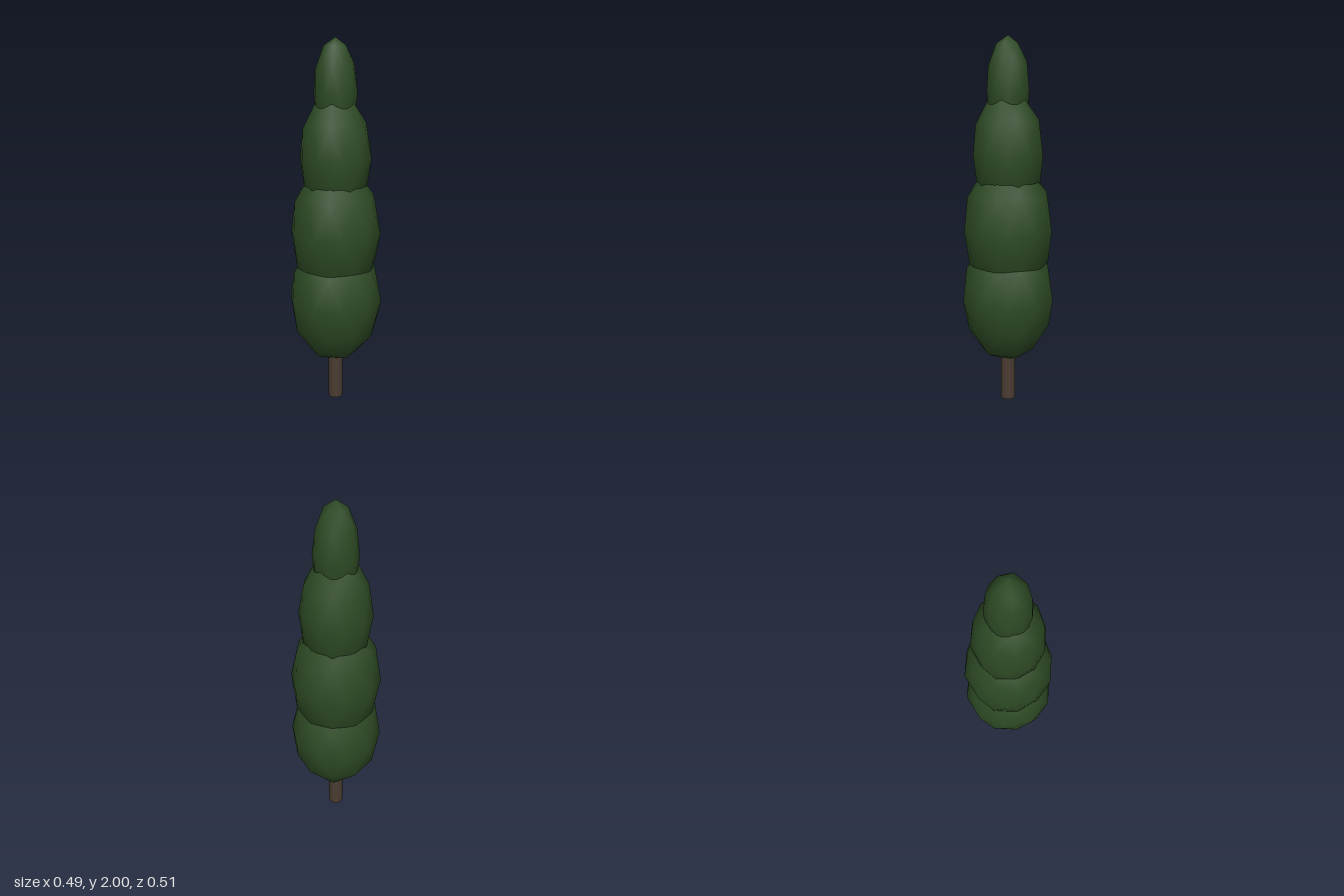
import * as THREE from 'three';

export function createModel() {
  const tree = new THREE.Group();
  tree.name = 'cypressTree';

  const leafGreen = new THREE.MeshStandardMaterial({ color: 0x2d4a24 });
  leafGreen.name = 'leafGreen';
  const barkBrown = new THREE.MeshStandardMaterial({ color: 0x4a3c31 });
  barkBrown.name = 'barkBrown';

  // Slim straight trunk, running up into the lowest foliage
  const trunkHeight = 0.5;
  const trunk = new THREE.Mesh(
    new THREE.CylinderGeometry(0.042, 0.042, trunkHeight, 10), barkBrown);
  trunk.name = 'trunk';
  trunk.position.y = trunkHeight / 2;
  tree.add(trunk);

  // Stacked egg-shaped foliage: [name, centre height, radius, half height]
  const foliage = [
    ['foliageBottom', 0.59, 0.256, 0.364],
    ['foliageLower', 0.972, 0.247, 0.392],
    ['foliageUpper', 1.38, 0.194, 0.35],
    ['foliageTop', 1.717, 0.117, 0.283],
  ];
  // Tilt that stands the icosahedron on one of its corners
  const tilt = -Math.atan(2 / (1 + Math.sqrt(5)));
  for (const [name, y, radius, halfHeight] of foliage) {
    const geometry = new THREE.IcosahedronGeometry(1, 1);
    geometry.rotateZ(tilt);
    geometry.scale(radius, halfHeight, radius);
    const clump = new THREE.Mesh(geometry, leafGreen);
    clump.name = name;
    clump.position.y = y;
    tree.add(clump);
  }

  return tree;
}
